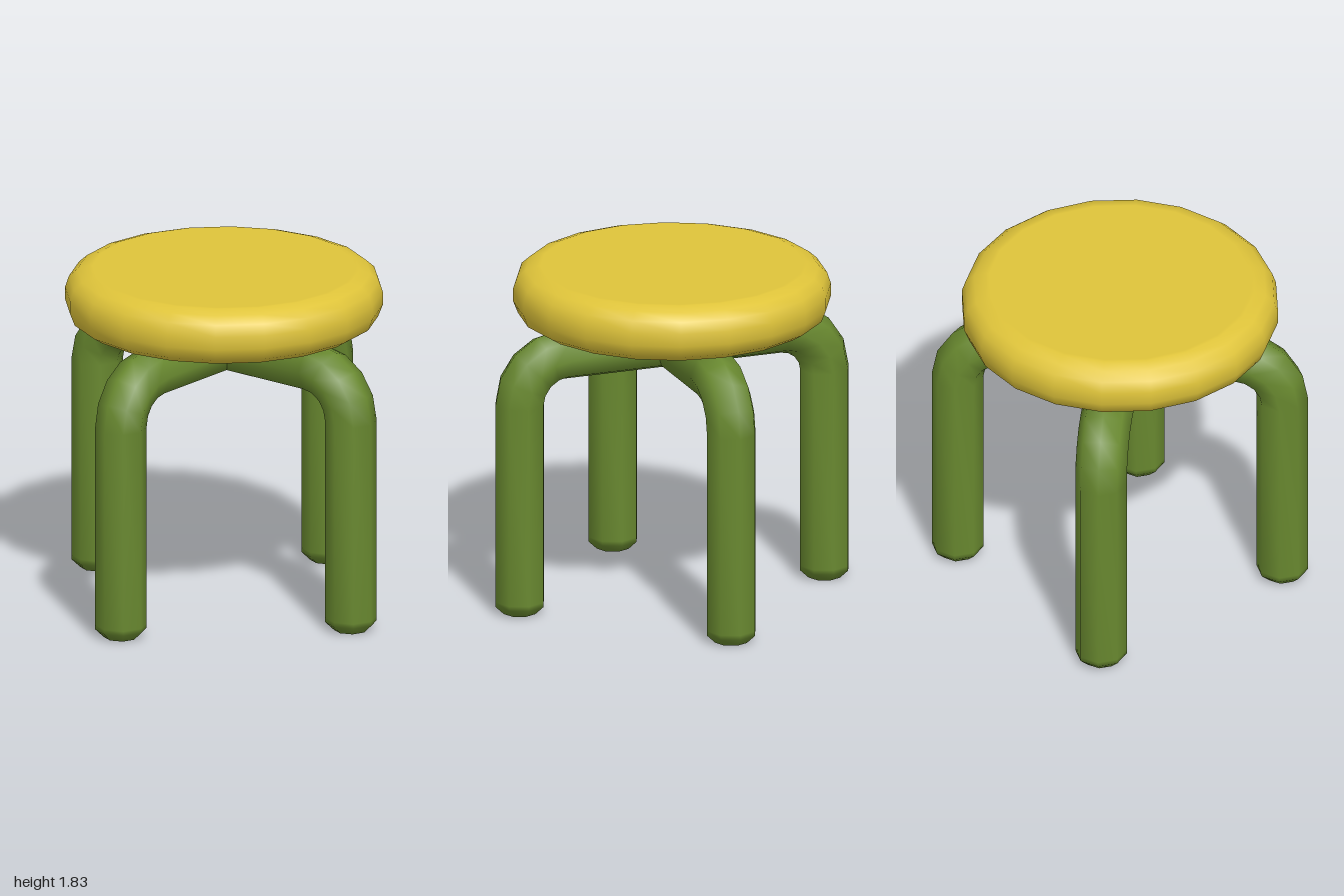
import * as THREE from 'three';

const SIDES = 8, R = 0.137;      // tube cross-section
const LEG_X = 0.863, BEND = 0.246, TOP_Y = 1.403;

// Rings along one arch, foot to foot: [x, y, tangent angle, radius]
function archRings() {
  const half = [
    [-LEG_X, 0, Math.PI / 2, 0],
    [-LEG_X, 0, Math.PI / 2, 0.09],
    [-LEG_X, 0.045, Math.PI / 2, R],
    [-LEG_X, 0.07, Math.PI / 2, R],
  ];
  const cx = -LEG_X + BEND, cy = TOP_Y - BEND;
  for (let i = 0; i <= 4; i++) {
    const a = (i / 4) * Math.PI / 2;
    half.push([cx - BEND * Math.cos(a), cy + BEND * Math.sin(a), Math.PI / 2 - a, R]);
  }
  const other = half.map(([x, y, a, r]) => [-x, y, -a, r]).reverse();
  return [...half, ...other];
}

// Sweeps an octagon through the rings
function archGeometry() {
  const pos = [], index = [], rings = archRings();
  rings.forEach(([x, y, t, r], i) => {
    for (let j = 0; j < SIDES; j++) {
      const a = (j / SIDES) * Math.PI * 2, n = r * Math.cos(a);
      pos.push(x - Math.sin(t) * n, y + Math.cos(t) * n, r * Math.sin(a));
      if (i < rings.length - 1) {
        const k = (j + 1) % SIDES, p = i * SIDES, q = p + SIDES;
        index.push(p + j, p + k, q + j, p + k, q + k, q + j);
      }
    }
  });
  const g = new THREE.BufferGeometry();
  g.setAttribute('position', new THREE.Float32BufferAttribute(pos, 3));
  g.setIndex(index);
  g.computeVertexNormals();
  return g;
}

export function createModel() {
  const green = new THREE.MeshStandardMaterial({ color: 0x68882f });
  green.name = 'leg green';
  const yellow = new THREE.MeshStandardMaterial({ color: 0xdfc43a });
  yellow.name = 'seat yellow';
  const group = new THREE.Group();
  group.name = 'stool';

  // Two crossing arches make the four legs
  const geometry = archGeometry();
  ['sideLegArch', 'frontBackLegArch'].forEach((name, i) => {
    const arch = new THREE.Mesh(geometry, green);
    arch.name = name;
    arch.rotation.y = i * Math.PI / 2;
    group.add(arch);
  });

  // Round cushion-edged seat
  const profile = [
    [0, 1.54], [0.74, 1.54], [0.76, 1.54], [0.815, 1.575], [0.84, 1.64],
    [0.84, 1.71], [0.82, 1.77], [0.775, 1.81], [0.715, 1.83], [0.695, 1.83], [0, 1.83],
  ].map(([x, y]) => new THREE.Vector2(x, y));
  const seat = new THREE.Mesh(new THREE.LatheGeometry(profile, 20), yellow);
  seat.name = 'seat';
  group.add(seat);

  return group;
}
